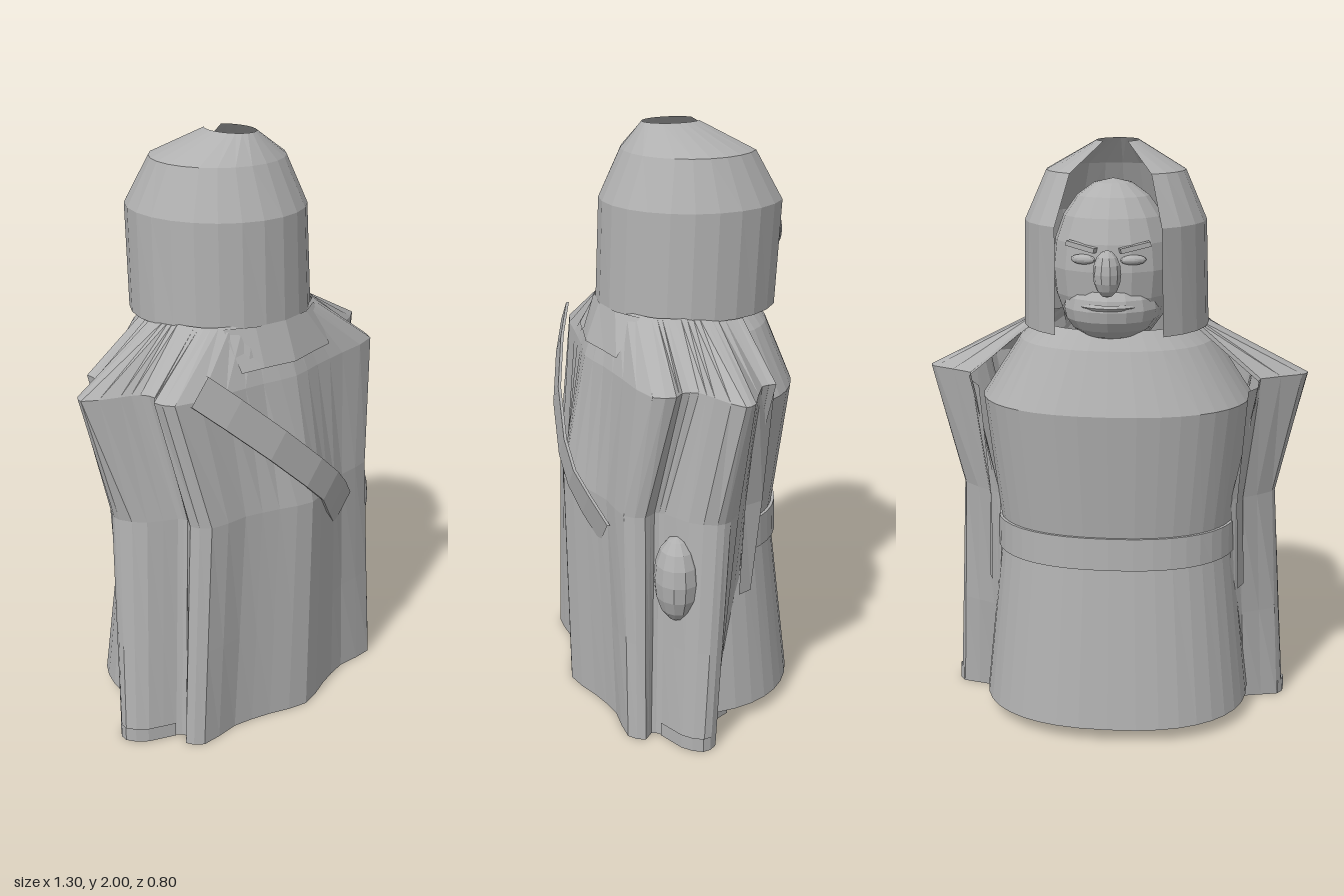
import * as THREE from 'three';

const grey = new THREE.MeshStandardMaterial({ color: 0xb0b0b0, flatShading: true, side: THREE.DoubleSide });
grey.name = 'stone grey';

// Skin a sheet across rows of [x, y, z] points
function loft(rows) {
  const n = rows[0].length, index = [];
  for (let r = 0; r < rows.length - 1; r++)
    for (let i = 0; i < n - 1; i++) {
      const a = r * n + i, b = a + n;
      index.push(a, b, a + 1, b, b + 1, a + 1);
    }
  const g = new THREE.BufferGeometry();
  g.setAttribute('position', new THREE.Float32BufferAttribute(rows.flat(2), 3));
  g.setIndex(index);
  g.computeVertexNormals();
  return g;
}

// Arc of an ellipse; angle 0 points to -z, powers below 1 make it squarer
function arc(y, rx, rz, cz, t0, t1, power = 1) {
  const bend = v => Math.sign(v) * Math.abs(v) ** power;
  return Array.from({ length: 21 }, (_, i) => {
    const t = t0 + (t1 - t0) * i / 20;
    return [rx * bend(Math.sin(t)), y, cz - rz * bend(Math.cos(t))];
  });
}

// Mirror a half section of [x, z] pairs about x = 0
function mirrored(y, half) {
  const right = half.map(([x, z]) => [x, y, z]);
  const left = half.slice(0, -1).reverse().map(([x, z]) => [-x, y, z]);
  return [...right, ...left];
}

// Mirrored section rounded by a spline, two steps per point
function folds(y, half) {
  const points = mirrored(y, half).map(p => new THREE.Vector3(...p));
  return new THREE.CatmullRomCurve3(points).getPoints((points.length - 1) * 2).map(p => p.toArray());
}

export function createModel() {
  const model = new THREE.Group();
  const add = (name, geometry, pos = [0, 0, 0], scale = [1, 1, 1], rot = [0, 0, 0]) => {
    const m = new THREE.Mesh(geometry, grey);
    m.name = name;
    m.position.set(...pos);
    m.scale.set(...scale);
    m.rotation.set(...rot);
    model.add(m);
  };

  // Cloak: side wings, a groove and a folded back panel
  const neck = [[.26, -.14], [.27, -.1], [.285, -.05], [.29, -.01], [.29, .03], [.285, .07],
    [.27, .11], [.255, .14], [.22, .17], [.15, .21], [.08, .235], [0, .245]];
  const shoulder = [[.485, -.18], [.49, -.13], [.63, -.05], [.65, -.01], [.54, .05], [.48, .08],
    [.465, .13], [.495, .16], [.47, .23], [.28, .265], [.13, .285], [0, .31]];
  const waist = [[.40, -.12], [.43, -.1], [.54, -.01], [.55, .04], [.50, .12], [.41, .17],
    [.395, .2], [.42, .24], [.38, .30], [.24, .315], [.12, .355], [0, .395]];
  const hem = [[.41, -.06], [.46, .02], [.58, .05], [.60, .1], [.55, .16], [.46, .2],
    [.44, .23], [.47, .26], [.43, .31], [.28, .305], [.14, .34], [0, .385]];
  const low = waist.map(([x, z], i) => [x * .45 + hem[i][0] * .55, z * .45 + hem[i][1] * .55]);
  const hemRow = folds(0, hem);
  add('cloak', loft([folds(1.415, neck), folds(1.23, shoulder), folds(.8, waist), folds(.35, low), hemRow]));

  // Hood with an open face and crown, and its drape at the back
  const o = .6, e = Math.PI * 2 - o;
  add('hood', loft([
    arc(2, .07, .1, 0, o, e),
    arc(1.91, .23, .225, -.06, o, e),
    arc(1.75, .30, .31, -.07, o, e),
    arc(1.4, .31, .305, -.05, o, e)]));
  add('hoodDrape', loft([
    mirrored(1.41, [[.215, .185], [.12, .238], [0, .257]]),
    mirrored(1.28, [[.21, .265], [.12, .28], [0, .305]])]));

  // Tunic front, open below and behind, with a belt
  const a = 1.6, sq = .85;
  add('tunic', loft([
    arc(1.41, .26, .265, 0, -a, a, sq),
    arc(1.35, .33, .305, 0, -a, a, sq),
    arc(1.15, .46, .38, 0, -a, a, sq),
    arc(.72, .41, .325, 0, -a, a, sq),
    arc(.61, .41, .325, 0, -a, a, sq),
    arc(.05, .47, .39, 0, -a, a, sq)]));
  add('belt', loft([
    arc(.72, .41, .325, 0, -1.5, 1.5, sq),
    arc(.72, .42, .335, 0, -1.5, 1.5, sq),
    arc(.61, .42, .34, 0, -1.5, 1.5, sq),
    arc(.61, .41, .325, 0, -1.5, 1.5, sq)]));

  // Head and face
  const ball = new THREE.SphereGeometry(1, 16, 10);
  add('head', ball, [0, 1.61, -.155], [.2, .28, .185]);
  add('jaw', ball, [0, 1.485, -.2], [.16, .115, .16]);
  add('nose', new THREE.SphereGeometry(1, 10, 8), [0, 1.61, -.355], [.045, .075, .045]);
  add('mouth', new THREE.TorusGeometry(.105, .01, 5, 12, Math.PI), [0, 1.5, -.252], [1, 1, 1], [-Math.PI / 2, 0, 0]);
  for (const s of [-1, 1]) {
    add('eye', ball, [s * .08, 1.65, -.32], [.042, .016, .018], [0, s * -.3, 0]);
    add('eyebrow', new THREE.BoxGeometry(.1, .016, .025), [s * .085, 1.69, -.32], [1, 1, 1], [0, s * -.35, s * .2]);

    // Narrow hanging edge beside the tunic
    add('cloakTrim', loft([
      [[s * .45, 1.2, -.19], [s * .49, 1.2, -.12]],
      [[s * .42, .8, -.17], [s * .44, .8, -.1]],
      [[s * .43, .48, -.13], [s * .45, .48, -.08]]]));

    // Small cuffs at the cloak hem
    add('hemCuff', loft([.05, 0].map(y => hemRow.slice(2, 11).map(([x, , z]) => [s * (x + .004), y, z + .003]))));
  }

  // Strap slung across the back
  const path = [[-.40, 1.27, .27], [-.3, 1.18, .32], [-.15, 1.045, .375], [0, .91, .4],
    [.09, .83, .395], [.16, .755, .365], [.235, .675, .325]];
  const edge = (w, dz) => path.map(([x, y, z], i) => {
    const k = w * (i > 4 ? 1.15 : 1);
    return [x + .66 * k, y + .75 * k, z + dz];
  });
  add('strap', loft([edge(-.055, -.01), edge(-.055, 0), edge(.055, 0), edge(.055, -.01)]));

  // Pouch on one side
  add('pouch', new THREE.SphereGeometry(1, 12, 8), [.465, .59, .148], [.088, .15, .075]);

  return model;
}
